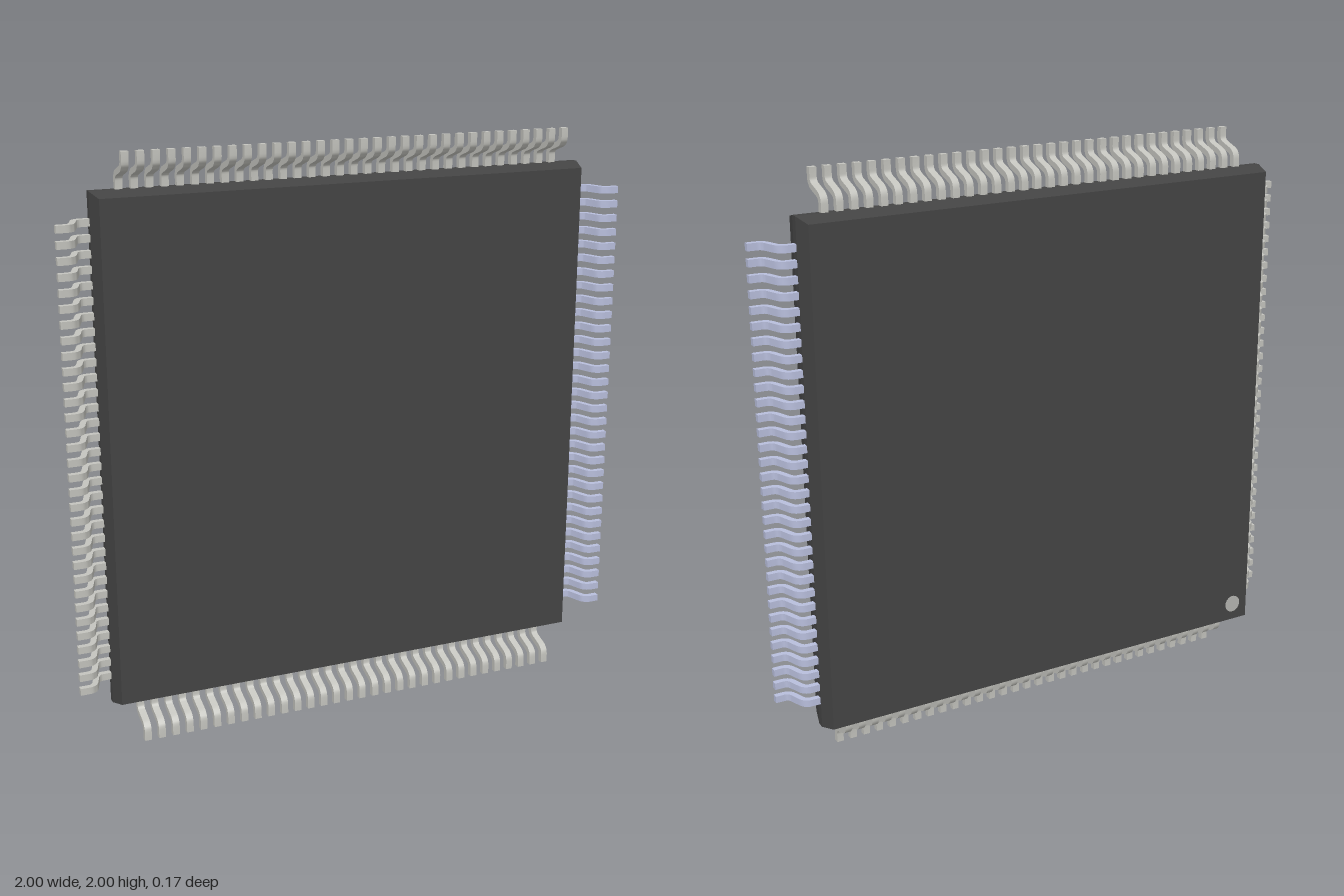
import * as THREE from 'three';
import { toCreasedNormals } from 'three/addons/utils/BufferGeometryUtils.js';

const PINS = 32, PITCH = 0.05;
const PIN_WIDTH = 0.024, PIN_THICK = 0.02;
const BACK = -0.083, FRONT = 0.067, MID = (BACK + FRONT) / 2;

const mat = (color) => new THREE.MeshStandardMaterial({ color });

// Square slab whose sides taper from a narrow middle band to both faces
function bodyGeometry() {
  const face = 0.857, waist = 0.873, band = 0.012;
  const profile = [
    [0, BACK], [face, BACK], [waist, MID - band],
    [waist, MID + band], [face, FRONT], [0, FRONT],
  ].map(([r, z]) => new THREE.Vector2(r * Math.SQRT2, z));
  const geo = new THREE.LatheGeometry(profile, 4);
  geo.rotateY(Math.PI / 4).rotateX(Math.PI / 2);
  return toCreasedNormals(geo, 0.05);
}

// Gull-wing pin: x runs outward, z runs towards the foot
function pinGeometry() {
  const path = new THREE.CurvePath();
  const v = (x, z) => new THREE.Vector2(x, z);
  const foot = 0.073;
  path.add(new THREE.LineCurve(v(0.86, MID), v(0.9, MID)));
  path.add(new THREE.QuadraticBezierCurve(v(0.9, MID), v(0.922, MID), v(0.929, 0.015)));
  path.add(new THREE.LineCurve(v(0.929, 0.015), v(0.941, 0.05)));
  path.add(new THREE.QuadraticBezierCurve(v(0.941, 0.05), v(0.948, foot), v(0.97, foot)));
  path.add(new THREE.LineCurve(v(0.97, foot), v(1, foot)));

  // Offset the centre line to both sides
  const upper = [], lower = [];
  for (const curve of path.curves) {
    const steps = curve.isLineCurve ? 1 : 5;
    for (let i = upper.length ? 1 : 0; i <= steps; i++) {
      const p = curve.getPoint(i / steps), t = curve.getTangent(i / steps);
      const n = v(-t.y, t.x).multiplyScalar(PIN_THICK / 2);
      upper.push(p.clone().add(n));
      lower.unshift(p.clone().sub(n));
    }
  }
  const geo = new THREE.ExtrudeGeometry(new THREE.Shape([...lower, ...upper]), {
    depth: PIN_WIDTH, bevelEnabled: false,
  });
  geo.translate(0, 0, -PIN_WIDTH / 2).rotateX(Math.PI / 2);
  return toCreasedNormals(geo, 0.6);
}

export function createModel() {
  const model = new THREE.Group();
  model.name = 'flatChipPackage';
  const chip = new THREE.Group();
  chip.name = 'chip';
  chip.position.y = 1;
  model.add(chip);

  const body = new THREE.Mesh(bodyGeometry(), mat(0x444444));
  body.name = 'body';
  chip.add(body);

  // Orientation mark in a lower corner of the back face
  const dot = new THREE.Mesh(new THREE.CylinderGeometry(0.032, 0.032, 0.004, 32), mat(0xb4b4b0));
  dot.name = 'pinOneMark';
  dot.rotation.x = Math.PI / 2;
  dot.position.set(-0.793, -0.793, BACK);
  chip.add(dot);

  // One row of pins on each of the four sides; the first row is bluish
  const pinGeo = pinGeometry();
  const grey = mat(0xc4c4be), blue = mat(0xb8bedc);
  ['leftPins', 'topPins', 'rightPins', 'bottomPins'].forEach((name, side) => {
    const row = new THREE.Group();
    row.name = name;
    row.rotation.z = side * Math.PI / 2;
    for (let i = 0; i < PINS; i++) {
      const pin = new THREE.Mesh(pinGeo, side === 0 ? blue : grey);
      pin.name = 'pin';
      pin.position.y = (i - (PINS - 1) / 2) * PITCH;
      row.add(pin);
    }
    chip.add(row);
  });

  return model;
}
